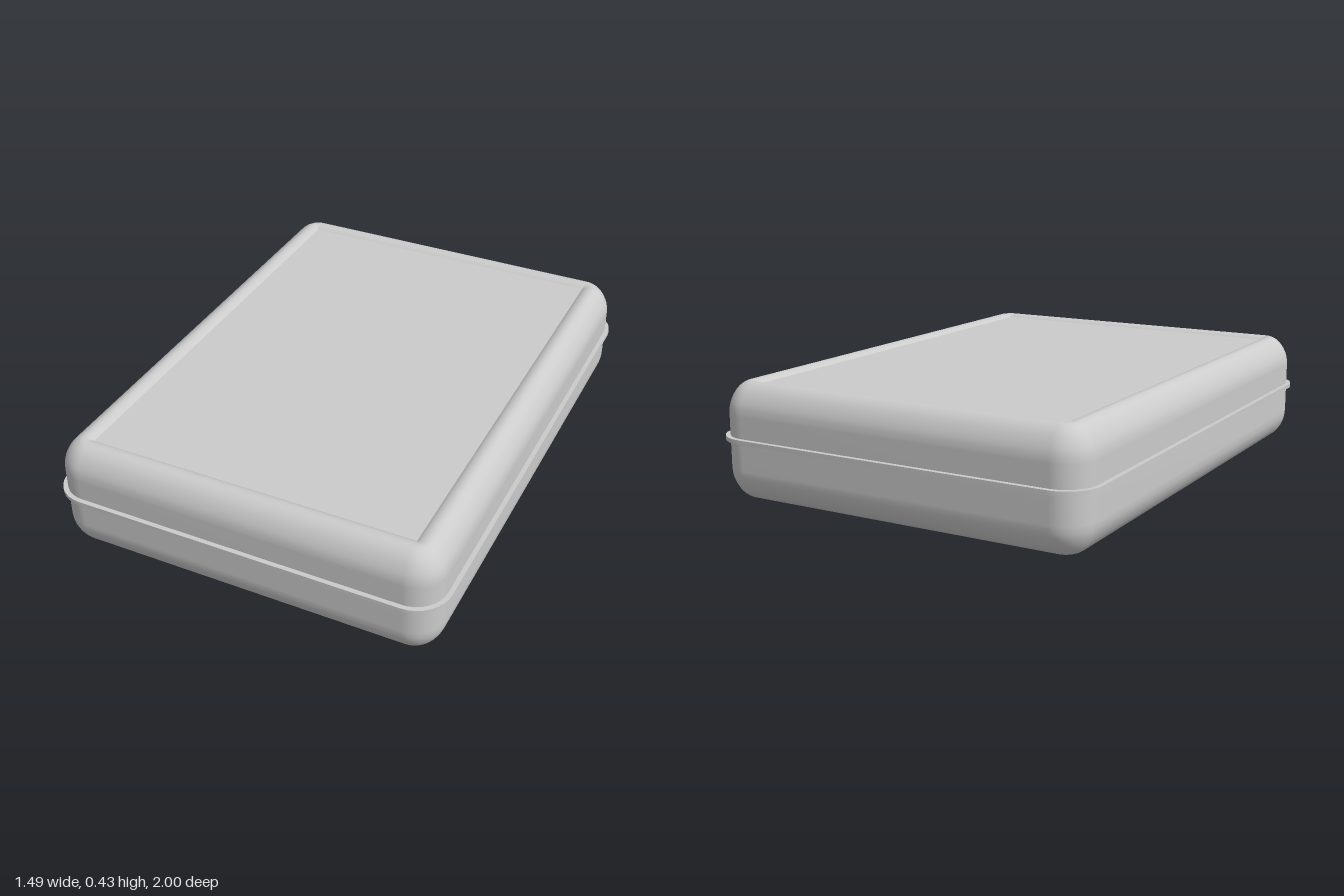
import * as THREE from 'three';
import { toCreasedNormals } from 'three/addons/utils/BufferGeometryUtils.js';

const CORE_X = 0.615, CORE_Z = 0.87; // half size of the flat panels
const HEIGHT = 0.425, PANEL_Y = 0.412;
const CORNER_STEPS = 8;

// Sweeps a profile (outward offset, height; listed top to bottom) round the core rectangle
function sweepAround(profile) {
  const positions = [], index = [];
  const rows = profile.length, columns = 4 * (CORNER_STEPS + 1);
  const corners = [[1, 1], [-1, 1], [-1, -1], [1, -1]];
  corners.forEach(([sx, sz], c) => {
    for (let s = 0; s <= CORNER_STEPS; s++) {
      const a = (c + s / CORNER_STEPS) * Math.PI / 2;
      for (const p of profile) {
        positions.push(sx * CORE_X + p.x * Math.cos(a), p.y, sz * CORE_Z + p.x * Math.sin(a));
      }
    }
  });
  for (let k = 0; k < columns; k++) {
    const next = (k + 1) % columns;
    for (let i = 0; i < rows - 1; i++) {
      const a = k * rows + i, b = next * rows + i;
      index.push(a, b, a + 1, b, b + 1, a + 1);
    }
  }
  const geometry = new THREE.BufferGeometry();
  geometry.setAttribute('position', new THREE.Float32BufferAttribute(positions, 3));
  geometry.setIndex(index);
  geometry.computeVertexNormals();
  return geometry;
}

export function createModel() {
  const group = new THREE.Group();
  const material = new THREE.MeshStandardMaterial({ color: 0xcccccc });
  const add = (name, geometry) => {
    const mesh = new THREE.Mesh(geometry, material);
    mesh.name = name;
    group.add(mesh);
    return mesh;
  };

  // Rounded shell: the rim rolls over and dips slightly to each panel
  const rim = new THREE.SplineCurve([
    [0, PANEL_Y], [0.012, 0.42], [0.03, HEIGHT], [0.05, 0.422], [0.075, 0.405],
    [0.095, 0.378], [0.109, 0.345], [0.113, 0.312],
  ].map(([x, y]) => new THREE.Vector2(x, y))).getPoints(18);
  const lower = rim.map((p) => new THREE.Vector2(p.x, HEIGHT - p.y)).reverse();
  add('shell', sweepAround([...rim, ...lower]));

  // Flat inset panels on top and bottom
  for (const side of [1, -1]) {
    const panel = add(side > 0 ? 'topPanel' : 'bottomPanel',
      new THREE.PlaneGeometry(2 * CORE_X, 2 * CORE_Z));
    panel.rotation.x = -side * Math.PI / 2;
    panel.position.y = side > 0 ? PANEL_Y : HEIGHT - PANEL_Y;
  }

  // Thin band standing out round the middle
  const band = [[0.105, 0.232], [0.13, 0.232], [0.13, 0.216], [0.105, 0.216]]
    .map(([x, y]) => new THREE.Vector2(x, y));
  add('seamBand', toCreasedNormals(sweepAround(band), 0.6));

  return group;
}
